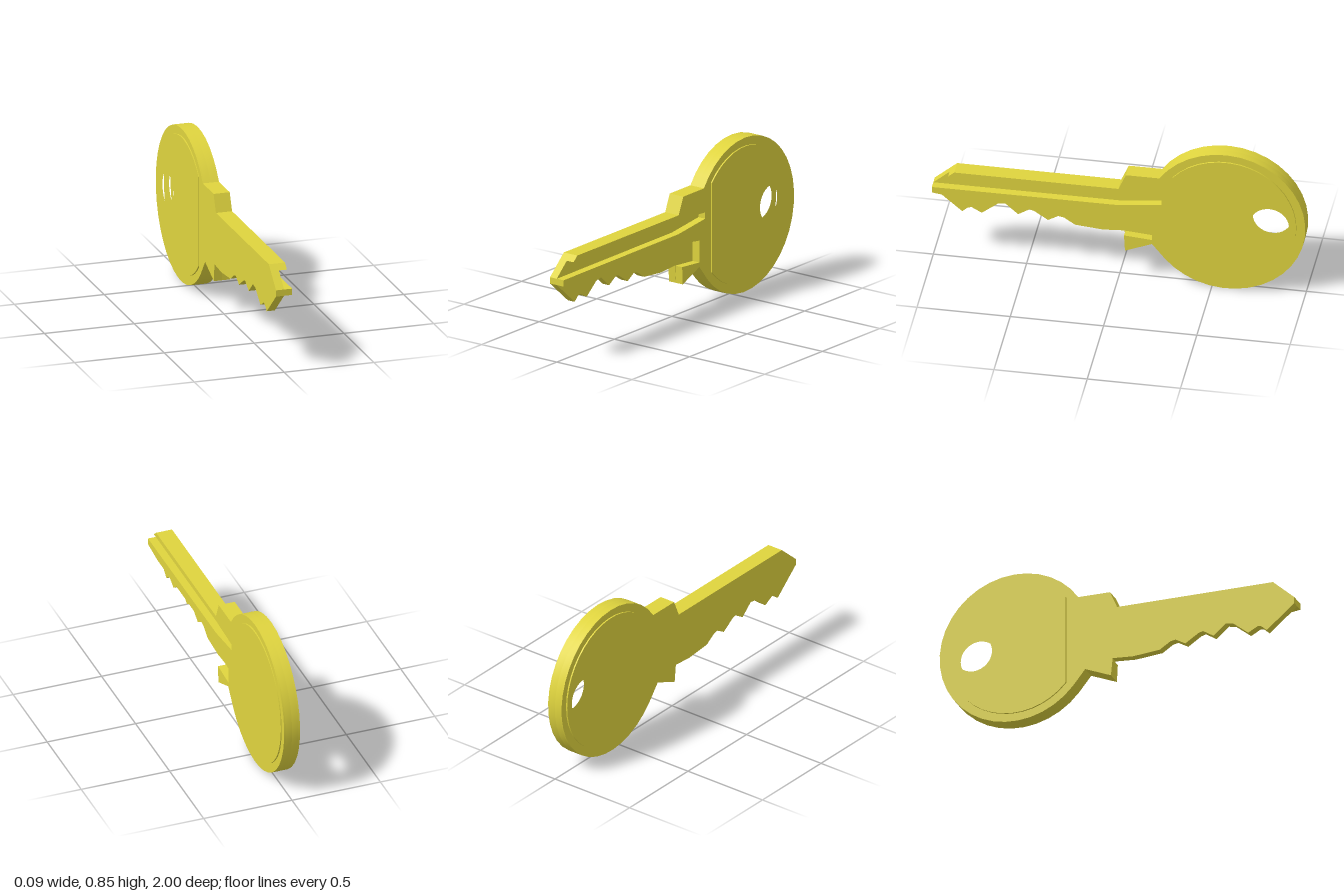
import * as THREE from 'three';
import { toCreasedNormals } from 'three/addons/utils/BufferGeometryUtils.js';

const HALF = 0.045;   // half thickness of the key
const SKIN = 0.008;   // depth of the decorative line on the bow
const BOW = { z: -0.575, y: 0.43, r: 0.427 };
const vec = ([z, y]) => new THREE.Vector2(-z, y); // profile points are [z, y]

// Arc around the bow centre, running clockwise over its far end
function bowArc(r, from, to, steps) {
  const angle = ([z, y]) => Math.atan2(y - BOW.y, BOW.z - z);
  const a = angle(from), b = angle(to);
  return Array.from({ length: steps + 1 }, (_, i) => {
    const t = a + (b - a) * i / steps;
    return [BOW.z - r * Math.cos(t), BOW.y + r * Math.sin(t)];
  });
}

const circle = (z, y, r, n = 32) => Array.from({ length: n }, (_, i) => {
  const t = i / n * Math.PI * 2;
  return [z + r * Math.cos(t), y + r * Math.sin(t)];
});

// D-shaped panel: bow circle cut off by a straight line at z = flat
function panelOutline(r, flat) {
  const h = Math.sqrt(r * r - (flat - BOW.z) ** 2);
  return bowArc(r, [flat, BOW.y + h], [flat, BOW.y - h], 32);
}

export function createModel() {
  const key = new THREE.Group();
  key.name = 'key';
  const brass = new THREE.MeshStandardMaterial({ color: 0xdfd43e });

  // Flat plate between x0 and x1
  function plate(name, outline, hole, x0, x1) {
    const shape = new THREE.Shape(outline.map(vec));
    shape.holes.push(new THREE.Path(hole.map(vec)));
    const geo = new THREE.ExtrudeGeometry(shape, { depth: x1 - x0, bevelEnabled: false });
    geo.rotateY(Math.PI / 2).translate(x0, 0, 0);
    const mesh = new THREE.Mesh(toCreasedNormals(geo, 0.4), brass);
    mesh.name = name;
    key.add(mesh);
  }

  const bow = bowArc(BOW.r, [-0.22, 0.665], [-0.25, 0.155], 30);
  const shoulder = [[-0.18, 0.24], [-0.035, 0.18]];
  const top = [[0, 0.572], [-0.04, 0.665]];

  // Full profile with the cut teeth
  const teeth = [
    [-0.025, 0.278], [0.09, 0.27], [0.24, 0.283], [0.3, 0.322], [0.33, 0.328], [0.385, 0.296],
    [0.46, 0.345], [0.485, 0.352], [0.545, 0.314], [0.615, 0.375], [0.655, 0.368],
    [0.74, 0.3], [0.795, 0.33], [0.815, 0.325], [0.845, 0.298],
  ];
  const full = [...bow, ...shoulder, ...teeth, [1, 0.43], [1, 0.465], [0.88, 0.572], ...top];

  // Milled profile: lower step with its pocket, centre ridge, upper keyway
  const milled = [
    ...bow, ...shoulder, [-0.03, 0.277], [-0.18, 0.265], [-0.18, 0.386], [0, 0.412],
    [0.86, 0.412], [1, 0.43], [1, 0.465], [0, 0.468], [-0.23, 0.495], [-0.23, 0.53],
    [0, 0.543], [0.913, 0.543], [0.88, 0.572], ...top,
  ];

  const ringHole = circle(-0.81, 0.435, 0.104);
  const lineOuter = panelOutline(0.39, -0.28);
  const lineInner = panelOutline(0.378, -0.29);

  // Two core halves, meeting at the floor of the milling
  plate('rightCore', full, ringHole, SKIN - HALF, 0);
  plate('leftCore', milled, ringHole, 0, HALF - SKIN);

  // Thin faces with an engraved line between rim and panel
  plate('rightFace', full, lineOuter, -HALF, SKIN - HALF);
  plate('leftFace', milled, lineOuter, HALF - SKIN, HALF);
  plate('rightBowPanel', lineInner, ringHole, -HALF, SKIN - HALF);
  plate('leftBowPanel', lineInner, ringHole, HALF - SKIN, HALF);

  return key;
}
